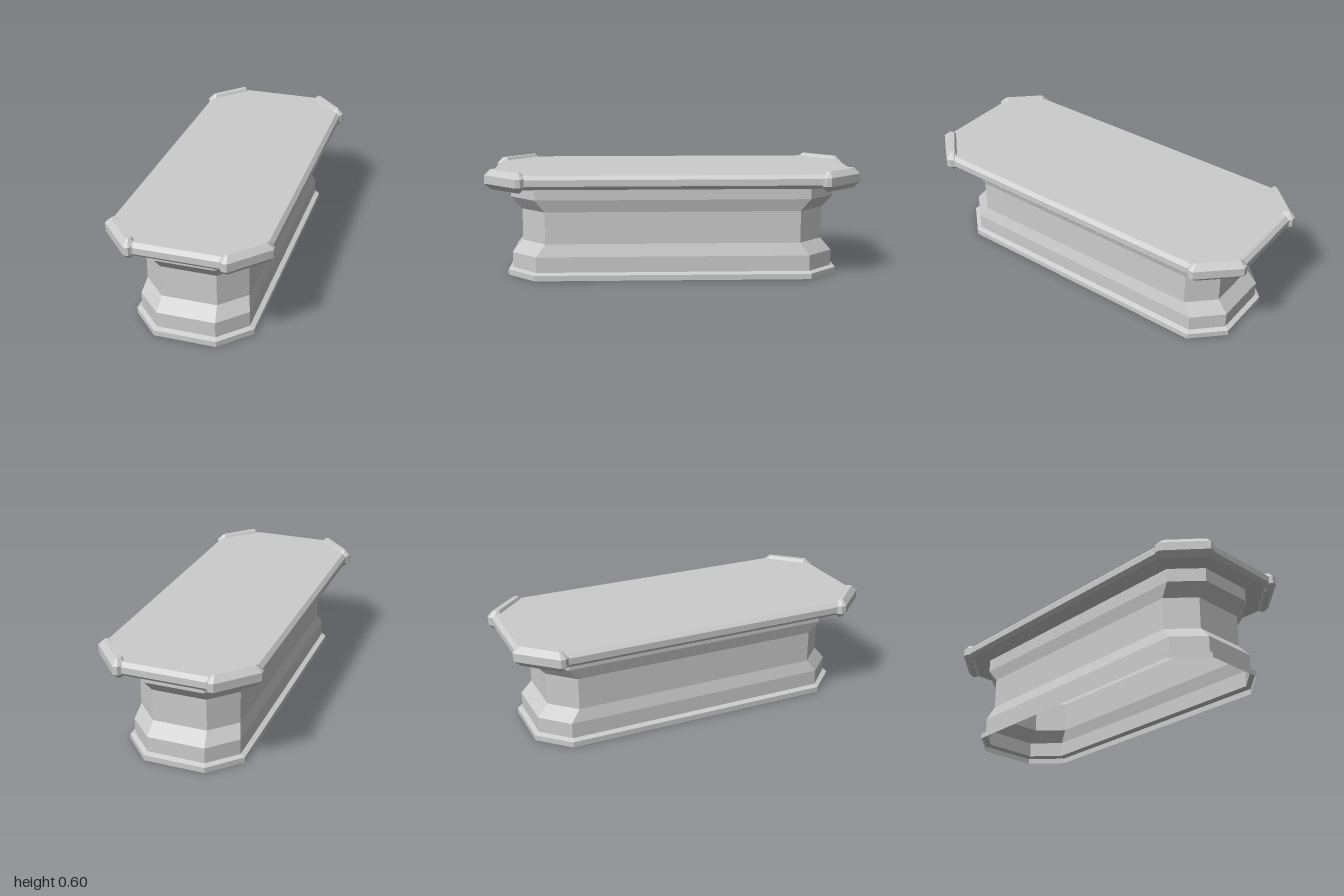
import * as THREE from 'three';

const material = new THREE.MeshStandardMaterial({ color: 0xcccccc, flatShading: true, side: THREE.DoubleSide });

// Joins rings of [x, y, z] corners (anticlockwise from above, bottom to top) into a faceted shell
function loft(name, rings, closeBottom, closeTop) {
  const pos = [];
  const tri = (a, b, c) => pos.push(...a, ...b, ...c);
  const n = rings[0].length;
  for (let i = 0; i < rings.length - 1; i++) {
    for (let j = 0; j < n; j++) {
      const k = (j + 1) % n, lo = rings[i], hi = rings[i + 1];
      tri(lo[j], lo[k], hi[k]);
      tri(lo[j], hi[k], hi[j]);
    }
  }
  const top = rings[rings.length - 1], bottom = rings[0];
  for (let j = 1; j < n - 1; j++) {
    if (closeTop) tri(top[0], top[j], top[j + 1]);
    if (closeBottom) tri(bottom[0], bottom[j + 1], bottom[j]);
  }
  const geometry = new THREE.BufferGeometry();
  geometry.setAttribute('position', new THREE.Float32BufferAttribute(pos, 3));
  geometry.computeVertexNormals();
  const mesh = new THREE.Mesh(geometry, material);
  mesh.name = name;
  return mesh;
}

// Chamfered rectangle: half sizes x, z; the chamfer runs from (x, cz) to (cx, z)
const octagon = ([y, x, z, cx, cz]) => [
  [x, y, cz], [x, y, -cz], [cx, y, -z], [-cx, y, -z],
  [-x, y, -cz], [-x, y, cz], [-cx, y, z], [cx, y, z],
];

export function createModel() {
  const model = new THREE.Group();
  model.name = 'altarTable';

  // Hollow pedestal with a plinth lip and a narrow waist, open underneath
  const pedestal = [
    [0, 0.317, 0.9, 0.164, 0.742],
    [0.03, 0.317, 0.9, 0.164, 0.742],
    [0.04, 0.291, 0.875, 0.154, 0.735],
    [0.125, 0.291, 0.875, 0.154, 0.735],
    [0.192, 0.273, 0.817, 0.145, 0.685],
    [0.366, 0.273, 0.817, 0.145, 0.685],
    [0.433, 0.291, 0.875, 0.154, 0.735],
    [0.506, 0.291, 0.875, 0.154, 0.735],
  ];
  model.add(loft('pedestal', pedestal.map(octagon), false, false));

  // Slab with bevelled edges
  const slab = [
    [0.506, 0.393, 0.965, 0.217, 0.777],
    [0.526, 0.412, 0.985, 0.225, 0.785],
    [0.56, 0.412, 0.985, 0.225, 0.785],
    [0.58, 0.393, 0.965, 0.217, 0.777],
  ];
  model.add(loft('tabletop', slab.map(octagon), true, true));

  // Bevelled guards over the four chamfered corners
  const outer = [[0.21, 0.975], [0.23, 1], [0.255, 1], [0.427, 0.815],
    [0.427, 0.79], [0.41, 0.77], [0.375, 0.77], [0.21, 0.94]];
  const inner = [[0.232, 0.955], [0.24, 0.968], [0.25, 0.968], [0.395, 0.812],
    [0.395, 0.803], [0.39, 0.795], [0.378, 0.795], [0.232, 0.942]];
  const levels = [[0.49, inner], [0.52, outer], [0.565, outer], [0.596, inner]];
  for (const sx of [1, -1]) {
    for (const sz of [1, -1]) {
      const rings = levels.map(([y, outline]) => {
        const ring = outline.map(([x, z]) => [sx * x, y, sz * z]);
        return sx * sz > 0 ? ring : ring.reverse();
      });
      const name = (sz > 0 ? 'front' : 'back') + (sx > 0 ? 'Left' : 'Right') + 'CornerGuard';
      model.add(loft(name, rings, true, true));
    }
  }
  return model;
}
